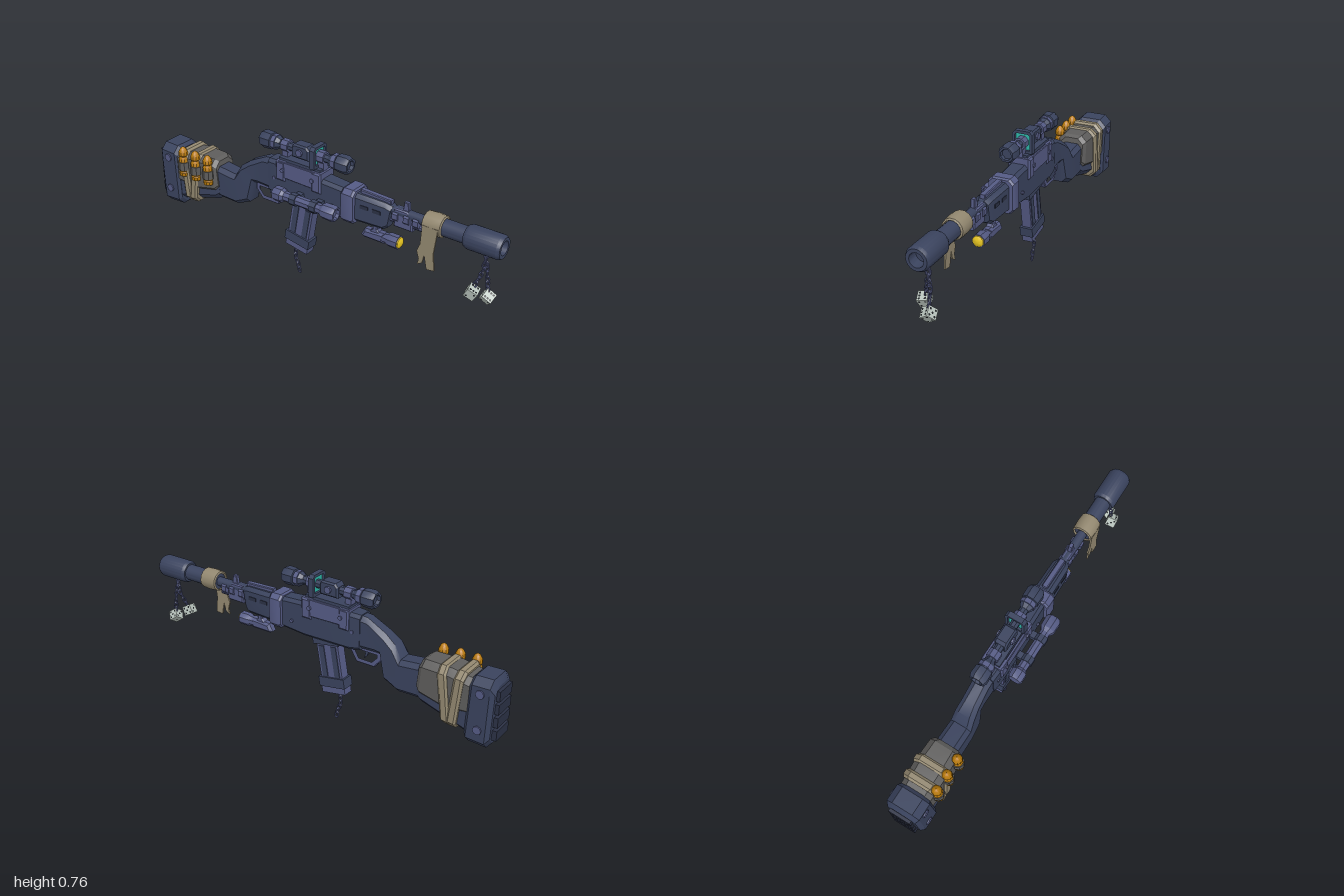
import * as THREE from 'three';
import { toCreasedNormals } from 'three/addons/utils/BufferGeometryUtils.js';

const mat = (color, side = THREE.FrontSide) => new THREE.MeshStandardMaterial({ color, side });
const NAVY = mat(0x3a435e), STEEL = mat(0x555b85), DARK = mat(0x2b3145), TAN = mat(0x938870, THREE.DoubleSide);
const GREY = mat(0x5e5d5c), GOLD = mat(0xb87a0c), YELLOW = mat(0xe6c420), CYAN = mat(0x2fb5a8), BONE = mat(0xb9c4bd), INK = mat(0x1c1f22);

export function createModel() {
  const root = new THREE.Group();
  root.name = 'rifle';
  const body = new THREE.Group();
  body.name = 'rifleBody';
  body.position.x = 0.025;
  root.add(body);

  const add = (name, geo, material, x = 0, y = 0, z = 0, parent = body) => {
    const m = new THREE.Mesh(toCreasedNormals(geo, 0.5), material);
    m.name = name;
    m.position.set(x, y, z);
    parent.add(m);
    return m;
  };
  const box = (name, w, h, d, material, x, y, z, parent) => add(name, new THREE.BoxGeometry(w, h, d), material, x, y, z, parent);
  // Turned part along z: points are [z, radius], from back to front
  const turned = (name, pts, sides, material, x, y, z = 0) => {
    const g = new THREE.LatheGeometry(pts.map(([a, r]) => new THREE.Vector2(r, a)), sides, Math.PI / sides);
    return add(name, g.rotateX(Math.PI / 2), material, x, y, z);
  };
  // Side outline [z, y] extruded across x with chamfered edges
  const slab = (name, pts, width, bevel, material, x = 0, hole) => {
    const s = new THREE.Shape(pts.map(p => new THREE.Vector2(...p)));
    if (hole) s.holes.push(new THREE.Path(hole.map(p => new THREE.Vector2(...p))));
    const g = new THREE.ExtrudeGeometry(s, { depth: width - 2 * bevel, bevelEnabled: bevel > 0, bevelSize: bevel, bevelOffset: -bevel, bevelThickness: bevel, bevelSegments: 1 });
    g.translate(0, 0, bevel - width / 2).rotateY(-Math.PI / 2);
    return add(name, g, material, x);
  };
  // Chamfered loft running backwards: sections [zTop, yTop, zBottom, yBottom, halfWidth]
  const loft = (name, sections, chamfer, material) => {
    const pos = [], idx = [], n = 8;
    for (const [zt, yt, zb, yb, w] of sections) {
      const h = yt - yb, c = Math.min(chamfer, w * 0.8), v = Math.min(c, h * 0.4) / h;
      for (const [x, t] of [[w, v], [w, 1 - v], [w - c, 1], [c - w, 1], [-w, 1 - v], [-w, v], [c - w, 0], [w - c, 0]])
        pos.push(x, yb + h * t, zb + (zt - zb) * t);
    }
    const last = (sections.length - 1) * n;
    for (let k = 0; k < last; k += n) for (let i = 0; i < n; i++) {
      const a = k + i, b = k + (i + 1) % n;
      idx.push(a, a + n, b, b, a + n, b + n);
    }
    for (let i = 1; i < n - 1; i++) idx.push(0, i, i + 1, last, last + i + 1, last + i);
    const g = new THREE.BufferGeometry();
    g.setAttribute('position', new THREE.Float32BufferAttribute(pos, 3));
    g.setIndex(idx);
    return add(name, g, material);
  };
  const bolt = (x, y, z, r = 0.012) => add('bolt', new THREE.CylinderGeometry(r, r, 0.014, 8).rotateZ(Math.PI / 2), STEEL, x, y, z);

  // Barrel, suppressor and front sight
  turned('barrel', [[0.1, 0], [0.1, 0.024], [0.62, 0.024], [0.62, 0.041], [0.85, 0.041], [0.85, 0]], 20, NAVY, 0, 0.553);
  turned('suppressor', [[0.82, 0], [0.82, 0.05], [0.835, 0.058], [0.985, 0.058], [1, 0.05], [1, 0.034], [0.95, 0.03], [0.95, 0]], 24, NAVY, 0, 0.553);
  turned('gasTube', [[0.4, 0], [0.4, 0.016], [0.6, 0.016], [0.6, 0]], 8, STEEL, 0, 0.507);
  for (const z of [0.46, 0.52, 0.57]) turned('barrelCollar', [[-0.014, 0], [-0.014, 0.034], [0.014, 0.034], [0.014, 0]], 8, STEEL, 0, 0.535, z);
  slab('gasBlock', [[0.45, 0.48], [0.55, 0.48], [0.55, 0.55], [0.52, 0.575], [0.45, 0.575]], 0.045, 0.006, STEEL);
  slab('frontSight', [[0.49, 0.56], [0.525, 0.56], [0.52, 0.616], [0.497, 0.616]], 0.022, 0.003, STEEL);

  // Cloth tied round the barrel with a ragged tail
  turned('clothWrap', [[0.61, 0.044], [0.615, 0.052], [0.66, 0.055], [0.705, 0.052], [0.71, 0.044]], 14, TAN, 0, 0.555);
  slab('clothTail', [[0.7, 0.56], [0.62, 0.56], [0.615, 0.46], [0.6, 0.42], [0.612, 0.38], [0.605, 0.35], [0.63, 0.365], [0.64, 0.41], [0.655, 0.34], [0.695, 0.345], [0.685, 0.43]], 0.008, 0, TAN, -0.05);

  // Handguard, receiver and lower frame
  loft('handguard', [[0.44, 0.575, 0.42, 0.46, 0.032], [0.41, 0.587, 0.4, 0.447, 0.042], [0.2, 0.59, 0.2, 0.44, 0.045]], 0.018, NAVY);
  loft('handguardBand', [[0.25, 0.6, 0.25, 0.435, 0.062], [0.24, 0.607, 0.24, 0.43, 0.067], [0.19, 0.607, 0.19, 0.43, 0.067], [0.18, 0.6, 0.18, 0.435, 0.062]], 0.022, STEEL);
  loft('receiver', [[0.19, 0.595, 0.19, 0.435, 0.046], [0.05, 0.605, 0.05, 0.425, 0.05], [-0.21, 0.622, -0.21, 0.43, 0.05], [-0.27, 0.62, -0.27, 0.44, 0.046]], 0.016, NAVY);
  slab('upperRail', [[0.43, 0.58], [0.43, 0.6], [0.26, 0.607], [0.26, 0.58]], 0.03, 0.004, STEEL);
  for (const s of [-1, 1]) {
    for (const z of [0.3, 0.37]) box('handguardVent', 0.006, 0.018, 0.045, DARK, s * 0.043, 0.535, z);
    slab('receiverPlate', [[0.03, 0.545], [-0.19, 0.55], [-0.21, 0.57], [-0.2, 0.635], [0.02, 0.635], [0.04, 0.6]], 0.014, 0.003, STEEL, s * 0.049);
    for (const z of [0.01, -0.17]) bolt(s * 0.058, 0.59, z, 0.011);
    bolt(s * 0.05, 0.49, 0.12, 0.009);
    bolt(s * 0.046, 0.53, -0.23, 0.009);
  }

  // Scope with its mounts and square sight frame
  box('scopeBase', 0.08, 0.03, 0.25, NAVY, 0, 0.632, -0.08);
  for (const z of [0.03, -0.185]) {
    slab('scopeMount', [[z + 0.028, 0.53], [z - 0.028, 0.53], [z - 0.028, 0.635], [z + 0.028, 0.635]], 0.118, 0.008, STEEL);
    box('scopePost', 0.035, 0.08, 0.035, STEEL, 0, 0.66, z);
    turned('scopeRing', [[-0.02, 0], [-0.02, 0.032], [0.02, 0.032], [0.02, 0]], 8, STEEL, 0, 0.7, z);
  }
  turned('scopeTube', [[-0.25, 0], [-0.25, 0.022], [0.1, 0.022], [0.1, 0]], 8, NAVY, 0, 0.7);
  for (const [z, turn] of [[0.075, 0], [-0.215, Math.PI]]) {
    const bell = turned('scopeBell', [[0, 0], [0, 0.024], [0.02, 0.036], [0.05, 0.036], [0.052, 0.044], [0.1, 0.046], [0.118, 0.038], [0.118, 0.028], [0.1, 0.026], [0.1, 0]], 8, NAVY, 0, 0.7, z);
    const ring = turned('scopeBellRing', [[0.024, 0.03], [0.024, 0.04], [0.045, 0.04], [0.045, 0.03]], 8, STEEL, 0, 0.7, z);
    bell.rotation.y = ring.rotation.y = turn;
  }
  slab('scopeTurretBlock', [[-0.03, 0.665], [-0.135, 0.665], [-0.135, 0.72], [-0.12, 0.737], [-0.045, 0.737], [-0.03, 0.72]], 0.066, 0.008, NAVY);
  for (const s of [-1, 1]) bolt(s * 0.036, 0.7, -0.083, 0.018);
  const frame = new THREE.Shape([[-0.052, 0.645], [0.052, 0.645], [0.052, 0.74], [0.038, 0.756], [-0.038, 0.756], [-0.052, 0.74]].map(p => new THREE.Vector2(...p)));
  frame.holes.push(new THREE.Path([[-0.038, 0.66], [-0.038, 0.735], [-0.03, 0.742], [0.03, 0.742], [0.038, 0.735], [0.038, 0.66]].map(p => new THREE.Vector2(...p))));
  add('sightFrame', new THREE.ExtrudeGeometry(frame, { depth: 0.028, bevelEnabled: false }), NAVY, 0, 0, -0.01);
  box('sightGlass', 0.078, 0.084, 0.004, CYAN, 0, 0.699, 0.004);

  // Side tube clamped to the receiver
  turned('sideTube', [[-0.18, 0], [-0.18, 0.033], [-0.17, 0.038], [-0.13, 0.038], [-0.115, 0.026], [0.1, 0.026], [0.12, 0.039], [0.175, 0.041], [0.188, 0.034], [0.188, 0.027], [0.17, 0.025], [0.17, 0]], 8, STEEL, -0.103, 0.487);
  for (const z of [-0.06, 0.06]) {
    box('sideTubeClamp', 0.07, 0.03, 0.035, NAVY, -0.07, 0.487, z);
    turned('sideTubeRing', [[-0.018, 0], [-0.018, 0.032], [0.018, 0.032], [0.018, 0]], 8, NAVY, -0.103, 0.487, z);
  }

  // Torch below the handguard
  slab('torchBody', [[0.27, 0.372], [0.285, 0.362], [0.4, 0.362], [0.4, 0.416], [0.29, 0.41]], 0.05, 0.012, STEEL);
  turned('torchHead', [[0.38, 0], [0.38, 0.026], [0.41, 0.026], [0.425, 0.034], [0.475, 0.034], [0.475, 0]], 8, STEEL, 0, 0.39);
  turned('torchLamp', [[0.47, 0.03], [0.48, 0.028], [0.488, 0.015], [0.49, 0]], 8, YELLOW, 0, 0.39);
  slab('torchMount', [[0.38, 0.4], [0.31, 0.4], [0.335, 0.425], [0.32, 0.52], [0.37, 0.52], [0.36, 0.425]], 0.036, 0.005, STEEL);

  // Magazine
  const magazine = new THREE.Group();
  magazine.name = 'magazine';
  magazine.position.set(0, 0.3, -0.09);
  magazine.rotation.x = 0.17;
  body.add(magazine);
  box('magazineCase', 0.05, 0.28, 0.125, STEEL, 0, 0.01, 0, magazine);
  box('magazineCollar', 0.07, 0.035, 0.15, NAVY, 0, 0.128, 0, magazine);
  box('magazineBand', 0.068, 0.05, 0.148, NAVY, 0, -0.09, 0, magazine);
  box('magazineFoot', 0.055, 0.035, 0.135, STEEL, 0, -0.132, 0, magazine);
  for (const s of [-1, 1]) for (const z of [-0.035, 0.035]) box('magazineRib', 0.008, 0.16, 0.03, NAVY, s * 0.025, 0.02, z, magazine);

  // Trigger and guard
  slab('triggerGuard', [[-0.2, 0.45], [-0.2, 0.42], [-0.235, 0.363], [-0.335, 0.363], [-0.375, 0.41], [-0.375, 0.45]], 0.032, 0.004, STEEL, 0,
    [[-0.222, 0.436], [-0.222, 0.425], [-0.247, 0.382], [-0.325, 0.382], [-0.355, 0.415], [-0.355, 0.436]]);
  slab('trigger', [[-0.275, 0.45], [-0.3, 0.45], [-0.292, 0.41], [-0.272, 0.387], [-0.28, 0.415]], 0.014, 0, NAVY);

  // Grip neck, stock and butt
  loft('gripNeck', [[-0.24, 0.618, -0.24, 0.445, 0.043], [-0.3, 0.612, -0.355, 0.45, 0.043], [-0.4, 0.562, -0.378, 0.448, 0.046], [-0.455, 0.522, -0.405, 0.33, 0.052], [-0.49, 0.46, -0.485, 0.295, 0.056], [-0.63, 0.475, -0.6, 0.3, 0.058]], 0.022, NAVY);
  loft('stock', [[-0.61, 0.49, -0.585, 0.302, 0.058], [-0.63, 0.5, -0.61, 0.285, 0.066], [-0.88, 0.485, -0.87, 0.21, 0.075]], 0.03, NAVY);
  loft('stockCover', [[-0.605, 0.5, -0.59, 0.345, 0.064], [-0.625, 0.512, -0.61, 0.328, 0.078], [-0.76, 0.513, -0.74, 0.3, 0.083], [-0.865, 0.495, -0.86, 0.31, 0.08]], 0.03, GREY);
  for (const [zt, zb] of [[-0.725, -0.76], [-0.815, -0.785]])
    loft('stockStrap', [[zt + 0.024, 0.51, zb + 0.024, 0.238, 0.084], [zt + 0.012, 0.52, zb + 0.014, 0.23, 0.092], [zt - 0.012, 0.52, zb - 0.014, 0.226, 0.092], [zt - 0.024, 0.51, zb - 0.024, 0.23, 0.084]], 0.032, TAN);
  loft('butt', [[-0.862, 0.5, -0.85, 0.195, 0.076], [-0.88, 0.517, -0.862, 0.18, 0.088], [-0.965, 0.52, -0.955, 0.175, 0.088], [-0.985, 0.49, -0.975, 0.2, 0.074]], 0.034, NAVY);
  for (let i = 0; i < 4; i++) box('buttPad', 0.115, 0.05, 0.03, DARK, 0, 0.25 + i * 0.066, -0.985);
  for (const s of [-1, 1]) for (const y of [0.27, 0.45]) bolt(s * 0.088, y, -0.92, 0.021);

  // Spare rounds strapped to the stock
  const round = [[0, 0.38], [0.025, 0.38], [0.027, 0.385], [0.027, 0.4], [0.022, 0.405], [0.026, 0.41], [0.026, 0.475], [0.019, 0.49], [0.025, 0.497], [0.024, 0.515], [0.014, 0.535], [0, 0.545]].map(p => new THREE.Vector2(...p));
  for (const z of [-0.642, -0.727, -0.812]) {
    add('spareRound', new THREE.LatheGeometry(round, 10), GOLD, -0.084, 0, z);
    add('roundLoop', new THREE.CylinderGeometry(0.031, 0.031, 0.045, 8), GREY, -0.084, 0.437, z);
  }

  // Chains of alternating links
  const up = new THREE.Vector3(0, 1, 0);
  const chain = (name, pts, count) => {
    const curve = new THREE.CatmullRomCurve3(pts.map(p => new THREE.Vector3(...p)));
    for (let i = 0; i < count; i++) {
      const t = (i + 0.5) / count;
      const link = add(name, new THREE.TorusGeometry(0.01, 0.0038, 5, 8).scale(1, 1.7, 1), STEEL);
      link.position.copy(curve.getPointAt(t));
      link.quaternion.setFromUnitVectors(up, curve.getTangentAt(t));
      link.rotateY(i % 2 ? Math.PI / 2 : 0.2);
    }
  };
  chain('magazineChain', [[-0.003, 0.155, -0.13], [-0.003, 0.09, -0.135], [-0.003, 0.05, -0.12], [-0.003, 0.005, -0.11]], 6);
  chain('diceChain', [[0, 0.5, 0.915], [-0.005, 0.42, 0.915], [-0.03, 0.33, 0.888]], 7);
  chain('diceChain', [[0, 0.5, 0.915], [0.012, 0.4, 0.925], [0.012, 0.3, 0.938]], 8);

  // Hanging dice with pips
  const spots = [[], [[0, 0]], [[-1, -1], [1, 1]], [[-1, -1], [0, 0], [1, 1]], [[-1, -1], [1, 1], [-1, 1], [1, -1]], [[-1, -1], [1, 1], [-1, 1], [1, -1], [0, 0]], [[-1, -1], [1, 1], [-1, 1], [1, -1], [-1, 0], [1, 0]]];
  const faces = [[0, 0, 4], [0, Math.PI, 3], [0, Math.PI / 2, 5], [0, -Math.PI / 2, 2], [Math.PI / 2, 0, 1], [-Math.PI / 2, 0, 6]];
  const die = (x, y, z, rx, ry, rz) => {
    const g = new THREE.Group();
    g.name = 'die';
    g.position.set(x, y, z);
    g.rotation.set(rx, ry, rz);
    body.add(g);
    box('dieCube', 0.05, 0.05, 0.05, BONE, 0, 0, 0, g);
    for (const [fx, fy, n] of faces) for (const [u, v] of spots[n])
      add('pip', new THREE.CircleGeometry(0.0055, 8).translate(u * 0.014, v * 0.014, 0.0256).rotateX(fx).rotateY(fy), INK, 0, 0, 0, g);
  };
  die(-0.04, 0.305, 0.885, 0.5, 0.25, 0.1);
  die(0.01, 0.275, 0.94, 0.6, 0.2, 0.55);

  return root;
}
